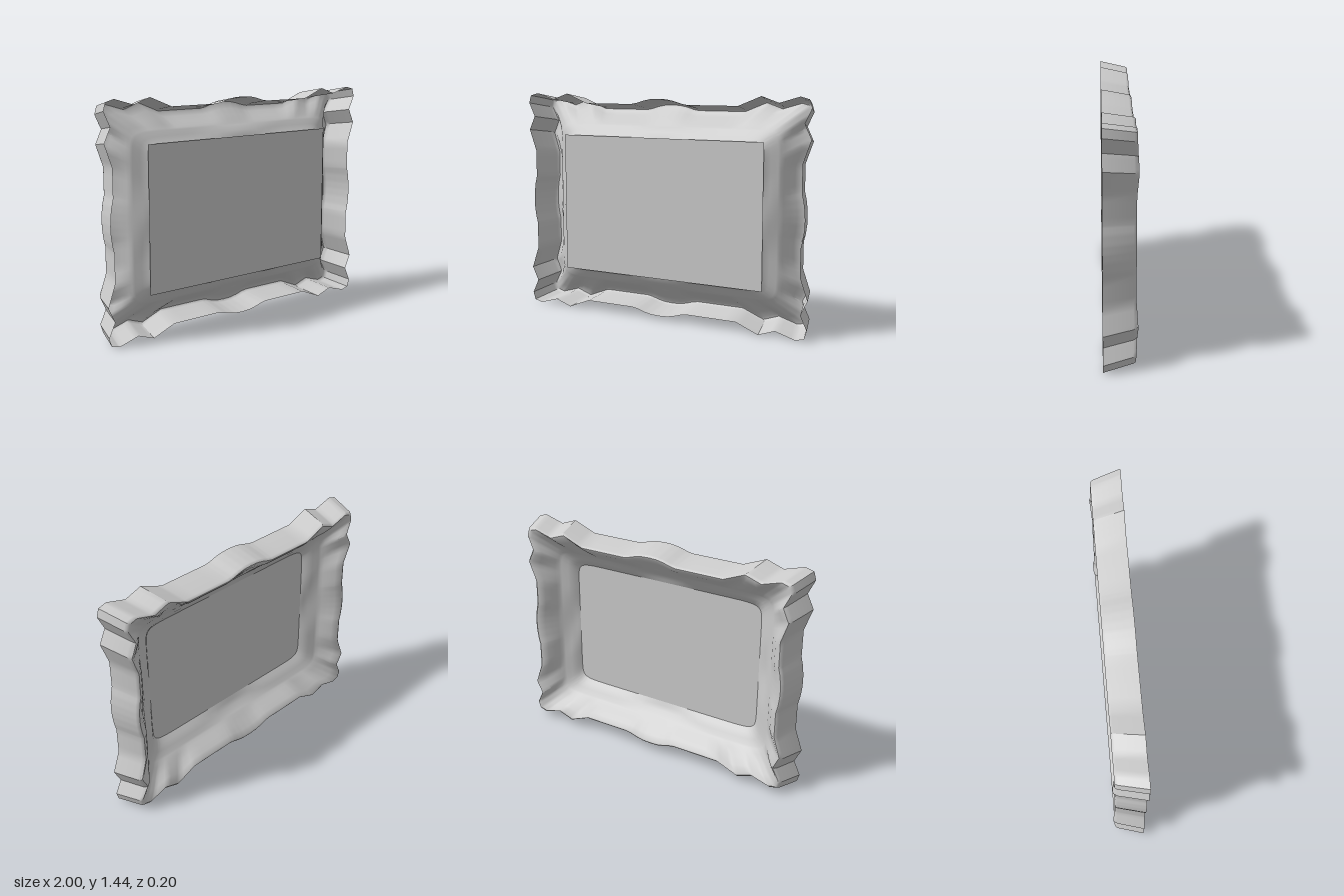
import * as THREE from 'three';
import { toCreasedNormals } from 'three/addons/utils/BufferGeometryUtils.js';

const CY = 0.72; // height of the frame's centre
const material = new THREE.MeshStandardMaterial({ color: 0xcccccc, side: THREE.DoubleSide });

// One quarter of the scalloped outline, from the top middle to the side middle
const QUARTER = [
  [0, 0.695], [0.06, 0.692], [0.11, 0.682], [0.16, 0.667], [0.2, 0.66], [0.54, 0.66],
  [0.69, 0.72], [0.8, 0.682], [0.93, 0.72], [0.985, 0.705], [1, 0.655], [0.957, 0.565],
  [1, 0.475], [0.95, 0.335], [0.95, 0.16], [0.962, 0.11], [0.97, 0.05], [0.972, 0],
];

// Full closed outline: mirror the quarter, then split each edge
function makeOutline(splits) {
  const half = [...QUARTER, ...QUARTER.slice(0, -1).reverse().map(([x, y]) => [x, -y])];
  const loop = [...half, ...half.slice(1, -1).reverse().map(([x, y]) => [-x, y])];
  const out = [];
  loop.forEach(([x, y], i) => {
    const [nx, ny] = loop[(i + 1) % loop.length];
    for (let s = 0; s < splits; s++) {
      const t = s / splits;
      out.push([x + (nx - x) * t, y + (ny - y) * t]);
    }
  });
  return out;
}

// Project an outline point onto a rounded rectangle of half size a x b
function roundedRect([x, y], a, b, n) {
  const u = x / 0.95, v = y / 0.66;
  const d = Math.pow(Math.abs(u) ** n + Math.abs(v) ** n, 1 / n);
  return [(u / d) * a, (v / d) * b];
}

// Moulding section: outline scale, blend towards the inner rectangle, depth
const SECTIONS = [
  { scale: 1, blend: 0, z: 0.1 },
  { scale: 0.955, blend: 0, z: -0.072 },
  { scale: 0.948, blend: 0, z: -0.084 },
  { scale: 0.938, blend: 0, z: -0.089, lift: 0.011 },
  { scale: 0.922, blend: 0.02, z: -0.084, lift: 0.008 },
  { scale: 0.91, blend: 0.2, z: -0.06 },
  { scale: 0.91, blend: 0.5, z: -0.025 },
  { scale: 0.91, blend: 0.8, z: 0.006 },
  { blend: 1, a: 0.79, b: 0.525, z: 0.024 },
  { blend: 1, a: 0.775, b: 0.515, z: 0.034 },
  { blend: 1, a: 0.735, b: 0.485, z: 0.05, bow: 0.022 },
  { blend: 1, a: 0.7, b: 0.455, z: 0.075, bow: 0.012 },
  { blend: 1, a: 0.68, b: 0.43, z: 0.098 },
];

function frameGeometry() {
  const outline = makeOutline(4);
  const n = outline.length;
  const positions = [];
  for (const { scale = 1, blend, z, a = 0.785, b = 0.522, lift = 0, bow = 0 } of SECTIONS) {
    for (const p of outline) {
      const [rx, ry] = roundedRect(p, a, b, 16);
      // small raised crest on the side lobes, gentle hollow at the middle of each side
      const lobe = Math.abs(p[0]) > 0.9 ? Math.max(0, 1 - Math.abs(Math.abs(p[1]) - 0.49) / 0.18) : 0;
      const mid = Math.max(0, 1 - Math.min(Math.abs(p[0]) / 0.5, Math.abs(p[1]) / 0.35));
      const hollow = bow * mid * mid * (3 - 2 * mid);
      positions.push(
        p[0] * scale * (1 - blend) + rx * blend,
        p[1] * scale * (1 - blend) + ry * blend + CY,
        z - lift * lobe + hollow,
      );
    }
  }
  const index = [];
  for (let r = 0; r < SECTIONS.length - 1; r++) {
    for (let i = 0; i < n; i++) {
      const j = (i + 1) % n;
      const p = r * n + i, q = r * n + j;
      index.push(p, q, p + n, q, q + n, p + n);
    }
  }
  const geometry = new THREE.BufferGeometry();
  geometry.setAttribute('position', new THREE.Float32BufferAttribute(positions, 3));
  geometry.setIndex(index);
  geometry.computeVertexNormals();
  return toCreasedNormals(geometry, 0.7);
}

export function createModel() {
  const model = new THREE.Group();
  model.name = 'pictureFrame';

  // Hollow scalloped moulding
  const frame = new THREE.Mesh(frameGeometry(), material);
  frame.name = 'frameMoulding';
  model.add(frame);

  // Flat sheet closing the opening
  const panel = new THREE.Mesh(new THREE.PlaneGeometry(1.42, 0.9), material);
  panel.name = 'picturePanel';
  panel.position.set(0, CY, 0.1);
  model.add(panel);

  return model;
}
